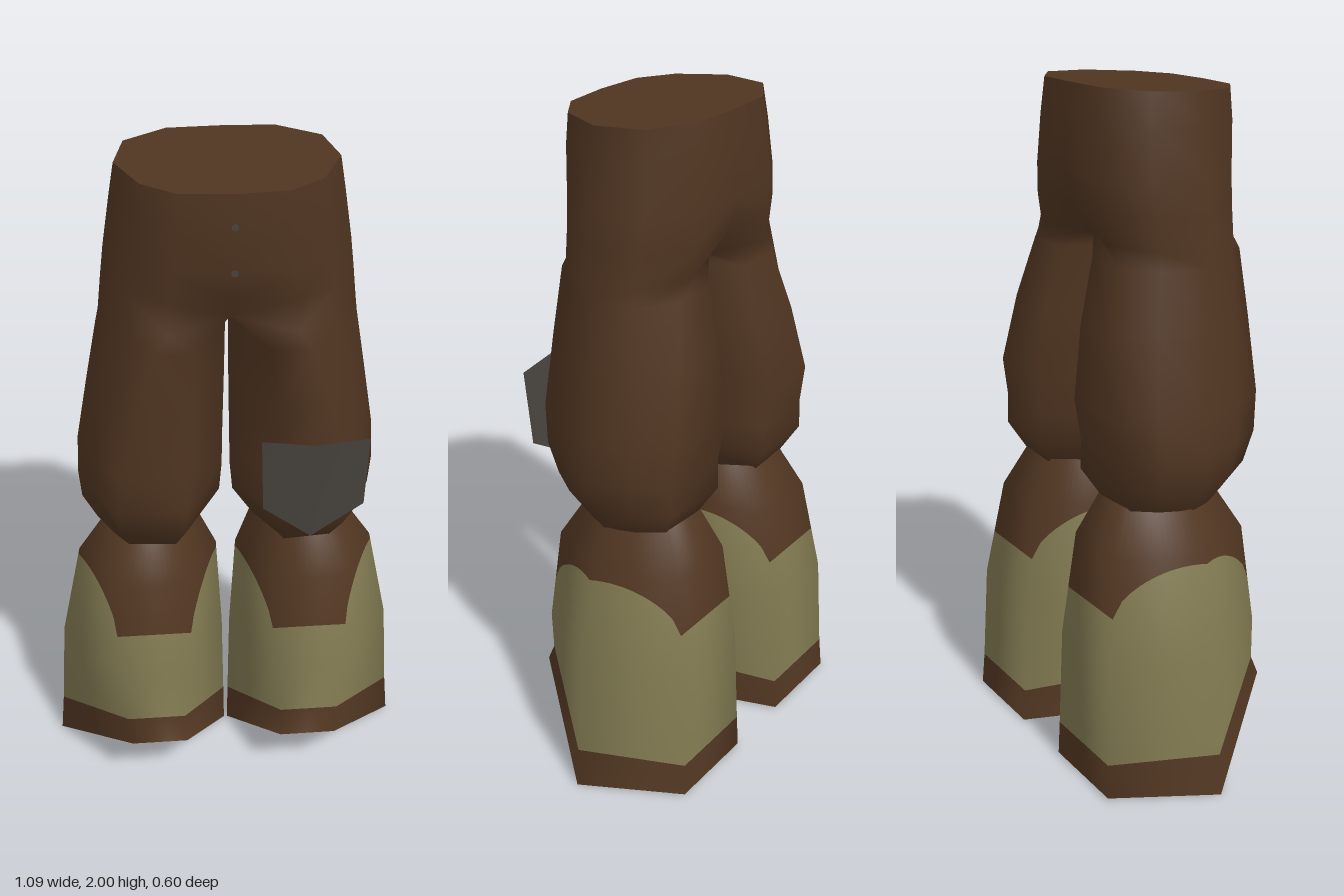
import * as THREE from 'three';

const mat = (name, color, side = THREE.FrontSide) => {
  const m = new THREE.MeshStandardMaterial({ color, side });
  m.name = name;
  return m;
};
const V = (x, y, z) => new THREE.Vector3(x, y, z);

function mesh(name, geometry, material) {
  const m = new THREE.Mesh(geometry, material);
  m.name = name;
  return m;
}

// Triangles for closed rings listed from top to bottom
function gridTriangles(rows, n, flip) {
  const tris = [];
  for (let r = 0; r < rows - 1; r++) for (let i = 0; i < n; i++) {
    const a = r * n + i, b = r * n + (i + 1) % n, c = a + n, d = b + n;
    if (flip) tris.push([a, b, c], [b, d, c]);
    else tris.push([a, c, b], [b, c, d]);
  }
  return tris;
}

// Smooth surface through rings of points; side -1 mirrors it in x
function loft(rings, side) {
  const pts = rings.flat();
  const g = new THREE.BufferGeometry();
  g.setFromPoints(pts.map(p => V(p.x * side, p.y, p.z)));
  // the two halves join on the centre plane, so no wall is needed there
  const tris = gridTriangles(rings.length, rings[0].length, side < 0);
  g.setIndex(tris.filter(t => t.some(i => pts[i].x > 1e-6)).flat());
  g.computeVertexNormals();
  const nor = g.attributes.normal;
  // keep the centre seam smooth where both halves meet
  pts.forEach((p, i) => {
    if (p.x > 1e-6) return;
    const v = V(0, nor.getY(i), nor.getZ(i)).normalize();
    nor.setXYZ(i, v.x, v.y, v.z);
  });
  return g;
}

// Flat cap fanned from the last point of a ring
function cap(ring, side, up) {
  const pts = [], last = ring[ring.length - 1];
  for (let i = 0; i < ring.length - 2; i++) {
    const tri = [last, ring[i], ring[i + 1]];
    if ((side > 0) !== up) tri.reverse();
    pts.push(...tri.map(p => V(p.x * side, p.y, p.z)));
  }
  const g = new THREE.BufferGeometry().setFromPoints(pts);
  g.computeVertexNormals();
  return g;
}

// Half hip ring: front, round the outside, to the back, then the centre
const hipRing = (y, xo, zf, zb, crease = 0, tilt = 0) => [
  [0, zf - crease], [0.48 * xo, zf - 0.012], [0.79 * xo, zf - 0.08], [xo, 0.06],
  [0.9 * xo, zb + 0.085], [0.5 * xo, zb + 0.006], [0, zb + crease * 0.6], [0, 0.05],
].map(([x, z]) => V(x, y - tilt * z, z));

// Thigh ring: six corners plus two on the outer edges; round softens it towards the hip
const thighRing = (y, xi, xo, zf, zb, round = 0, tilt = 0) => {
  const w = xo - xi;
  return [
    [xi + 0.28 * w, zf], [xi + (0.74 - 0.16 * round) * w, zf * (0.94 + 0.06 * round)],
    [xi + (0.89 - 0.06 * round) * w, zf * (0.52 + 0.12 * round)], [xo, 0.04 * round],
    [xi + 0.9 * w, zb * 0.56], [xi + (0.75 - 0.13 * round) * w, zb * (0.96 + 0.04 * round)],
    [xi + 0.24 * w, zb], [xi, 0.03 * round],
  ].map(([x, z]) => V(x, y - tilt * z, z));
};

// Six-cornered shin ring: heights of front, sides and back; f0, f1 place the front corners
const shinRing = (yf, ys, yb, xi, xo, zf, zb, f0, f1) => {
  const w = xo - xi;
  return [
    V(xi + f0 * w, yf, zf), V(xi + f1 * w, yf, zf), V(xo, ys, -0.008),
    V(xi + 0.71 * w, yb, zb), V(xi + 0.19 * w, yb, zb), V(xi, ys, -0.008),
  ];
};

// Splits a shin into three colour bands, with an arched upper edge on the middle one
function shinBands(rings, side) {
  const N = 12, base = loft(rings, side);
  const pos = base.attributes.position, nor = base.attributes.normal;
  const row = r => {
    const out = [];
    for (let e = 0; e < 6; e++) for (let k = 0; k < N; k++) {
      const a = r * 6 + e, b = r * 6 + (e + 1) % 6, t = k / N;
      const mix = at => V().fromBufferAttribute(at, a).lerp(V().fromBufferAttribute(at, b), t);
      const f = [0, t, 1 - t][e % 3];
      out.push({ p: mix(pos), n: mix(nor), edge: 0.56 + 0.15 * Math.sin(f * Math.PI / 2) ** 0.53 });
    }
    return out;
  };
  const rows = rings.map((_, r) => row(r));
  const arch = rows[1].map((a, i) => {
    const b = rows[2][i], t = (a.p.y - a.edge) / (a.p.y - b.p.y);
    return { p: a.p.clone().lerp(b.p, t), n: a.n.clone().lerp(b.n, t) };
  });
  const band = list => {
    const g = new THREE.BufferGeometry().setFromPoints(list.flat().map(q => q.p));
    const normals = list.flat().flatMap(q => q.n.clone().normalize().toArray());
    g.setAttribute('normal', new THREE.Float32BufferAttribute(normals, 3));
    g.setIndex(gridTriangles(list.length, 6 * N, side < 0).flat());
    return g;
  };
  return [band([rows[0], rows[1], arch]), band([arch, rows[2], rows[3]]), band([rows[3], rows[4]])];
}

export function createModel() {
  const model = new THREE.Group();
  model.name = 'trousers';
  const cloth = mat('dark brown cloth', 0x503521);
  const leather = mat('warm brown leather', 0x523722);
  const khaki = mat('khaki cloth', 0x807951);
  const grey = mat('grey patch', 0x48433e, THREE.DoubleSide);

  const upper = [
    hipRing(1.99, 0.295, 0.277, -0.165, 0, 0.045),
    hipRing(1.9, 0.31, 0.277, -0.175),
    hipRing(1.76, 0.332, 0.266, -0.183),
    hipRing(1.67, 0.343, 0.264, -0.18, 0.03),
    hipRing(1.58, 0.353, 0.266, -0.165, 0.12),
    thighRing(1.53, 0.004, 0.362, 0.26, -0.155, 1),
    thighRing(1.35, 0.006, 0.395, 0.265, -0.2, 0.5),
    thighRing(1.14, 0.01, 0.432, 0.265, -0.23),
    thighRing(1.02, 0.012, 0.438, 0.257, -0.212),
    thighRing(0.93, 0.02, 0.43, 0.222, -0.217),
    thighRing(0.84, 0.08, 0.37, 0.14, -0.17, 0, 0.06),
  ];
  // the top ring is tucked inside the thigh
  const lower = [
    shinRing(0.87, 0.87, 0.88, 0.095, 0.355, 0.125, -0.152, 0.22, 0.72),
    shinRing(0.73, 0.73, 0.73, 0.03, 0.45, 0.2, -0.23, 0.2, 0.73),
    shinRing(0.42, 0.42, 0.42, 0.012, 0.515, 0.24, -0.28, 0.24, 0.68),
    shinRing(0.265, 0.13, 0.11, 0.007, 0.535, 0.265, -0.294, 0.27, 0.6),
    shinRing(0.195, 0, 0.005, 0.005, 0.547, 0.3, -0.3, 0.26, 0.57),
  ];

  for (const side of [1, -1]) {
    const leg = new THREE.Group();
    leg.name = side > 0 ? 'leftLeg' : 'rightLeg';
    const [knee, shin, hem] = shinBands(lower, side);
    leg.add(
      mesh('thighAndHip', loft(upper, side), cloth),
      mesh('waistCap', cap(upper[0], side, true), cloth),
      mesh('kneeCuff', knee, leather),
      mesh('shinCover', shin, khaki),
      mesh('hem', hem, leather),
      mesh('legOpening', cap(lower[4], side, false), leather),
    );
    model.add(leg);
  }

  // Knee patch, slightly bowed and standing off the cloth at the top
  const patch = new THREE.BufferGeometry().setFromPoints([
    V(0.075, 1.26, 0.277), V(0.22, 1.255, 0.3), V(0.375, 1.255, 0.277),
    V(0.37, 1.03, 0.26), V(0.22, 0.93, 0.266), V(0.083, 1.03, 0.262), V(0.22, 1.03, 0.275),
  ]);
  patch.setIndex([0, 5, 6, 0, 6, 1, 1, 6, 2, 2, 6, 3, 5, 4, 6, 6, 4, 3]);
  patch.computeVertexNormals();
  model.add(mesh('kneePatch', patch, grey));

  // Fly buttons
  for (const [y, z] of [[1.89, 0.275], [1.76, 0.265]]) {
    const button = mesh('flyButton', new THREE.CylinderGeometry(0.01, 0.01, 0.005, 6), grey);
    button.rotation.x = Math.PI / 2;
    button.position.set(0, y, z);
    model.add(button);
  }
  return model;
}
